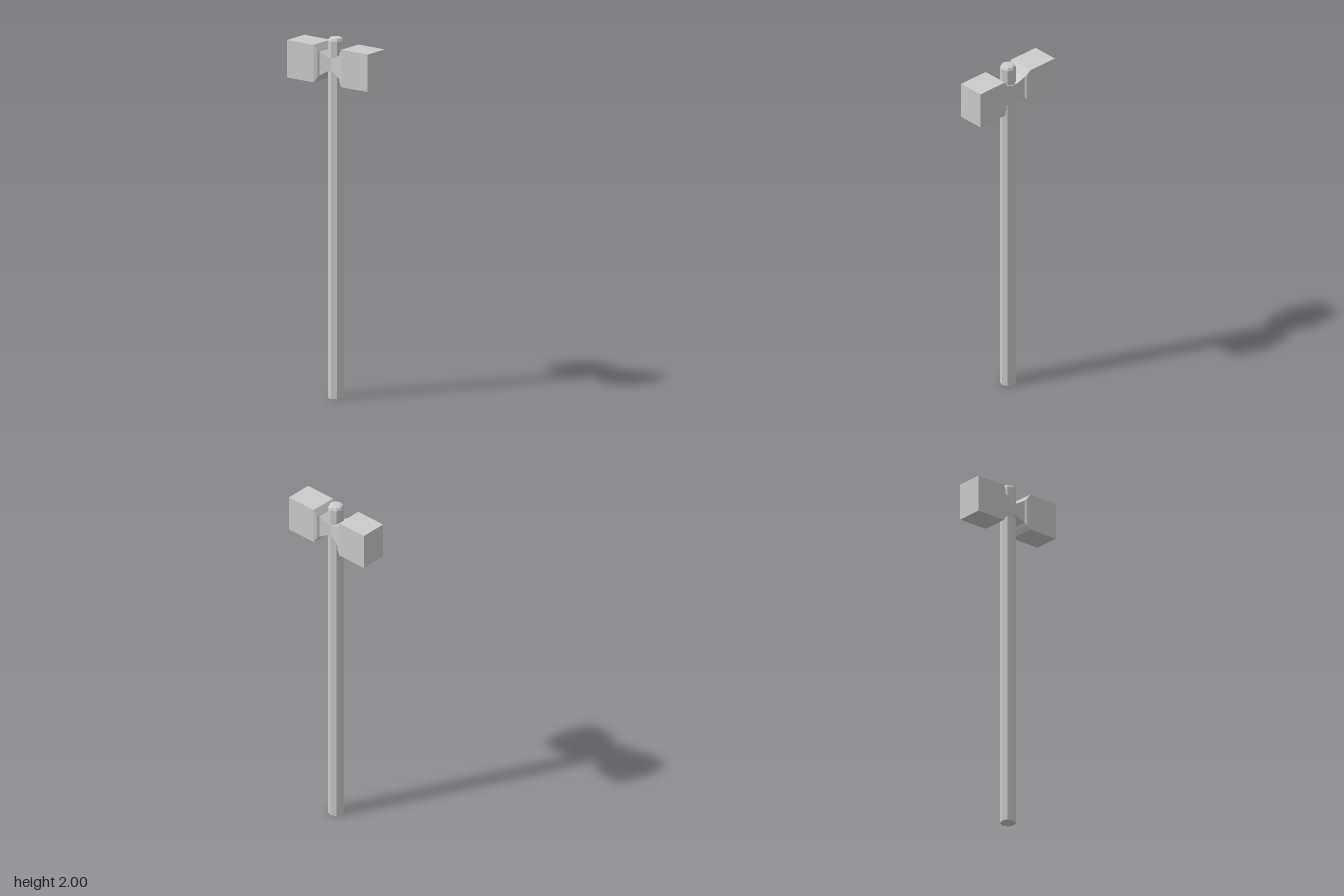
import * as THREE from 'three';

const material = new THREE.MeshStandardMaterial({ color: 0xcccccc, flatShading: true });

// Joins rectangular cross-sections [x, halfHeight, halfDepth] along x and caps both ends
function loftRectangles(sections) {
  const positions = [];
  const index = [];
  for (const [x, h, d] of sections) {
    positions.push(x, -h, -d, x, h, -d, x, h, d, x, -h, d);
  }
  for (let i = 0; i < sections.length - 1; i++) {
    for (let k = 0; k < 4; k++) {
      const a = i * 4 + k;
      const b = i * 4 + ((k + 1) % 4);
      index.push(a, b, b + 4, a, b + 4, a + 4);
    }
  }
  const e = (sections.length - 1) * 4;
  index.push(0, 2, 1, 0, 3, 2, e, e + 1, e + 2, e, e + 2, e + 3);
  const geometry = new THREE.BufferGeometry();
  geometry.setAttribute('position', new THREE.Float32BufferAttribute(positions, 3));
  geometry.setIndex(index);
  const flat = geometry.toNonIndexed();
  flat.computeVertexNormals();
  return flat;
}

export function createModel() {
  const group = new THREE.Group();

  // Eight-sided handle with a bevelled tip
  const profile = [[0, 0], [0.044, 0], [0.044, 1.98], [0.037, 1.995], [0.022, 2], [0, 2]]
    .map(([r, y]) => new THREE.Vector2(r, y));
  const handle = new THREE.Mesh(new THREE.LatheGeometry(profile, 8), material);
  handle.name = 'handle';
  group.add(handle);

  // Double-ended hammer head, pinched where it meets the handle
  const half = [
    [0.018, 0.037, 0.048],
    [0.068, 0.066, 0.059],
    [0.075, 0.077, 0.068],
    [0.094, 0.104, 0.076],
    [0.275, 0.104, 0.076],
  ];
  const mirrored = half.map(([x, h, d]) => [-x, h, d]).reverse();
  const head = new THREE.Mesh(loftRectangles([...mirrored, [0, 0.037, 0.044], ...half]), material);
  head.name = 'hammerHead';
  head.position.y = 1.852;
  group.add(head);

  return group;
}
